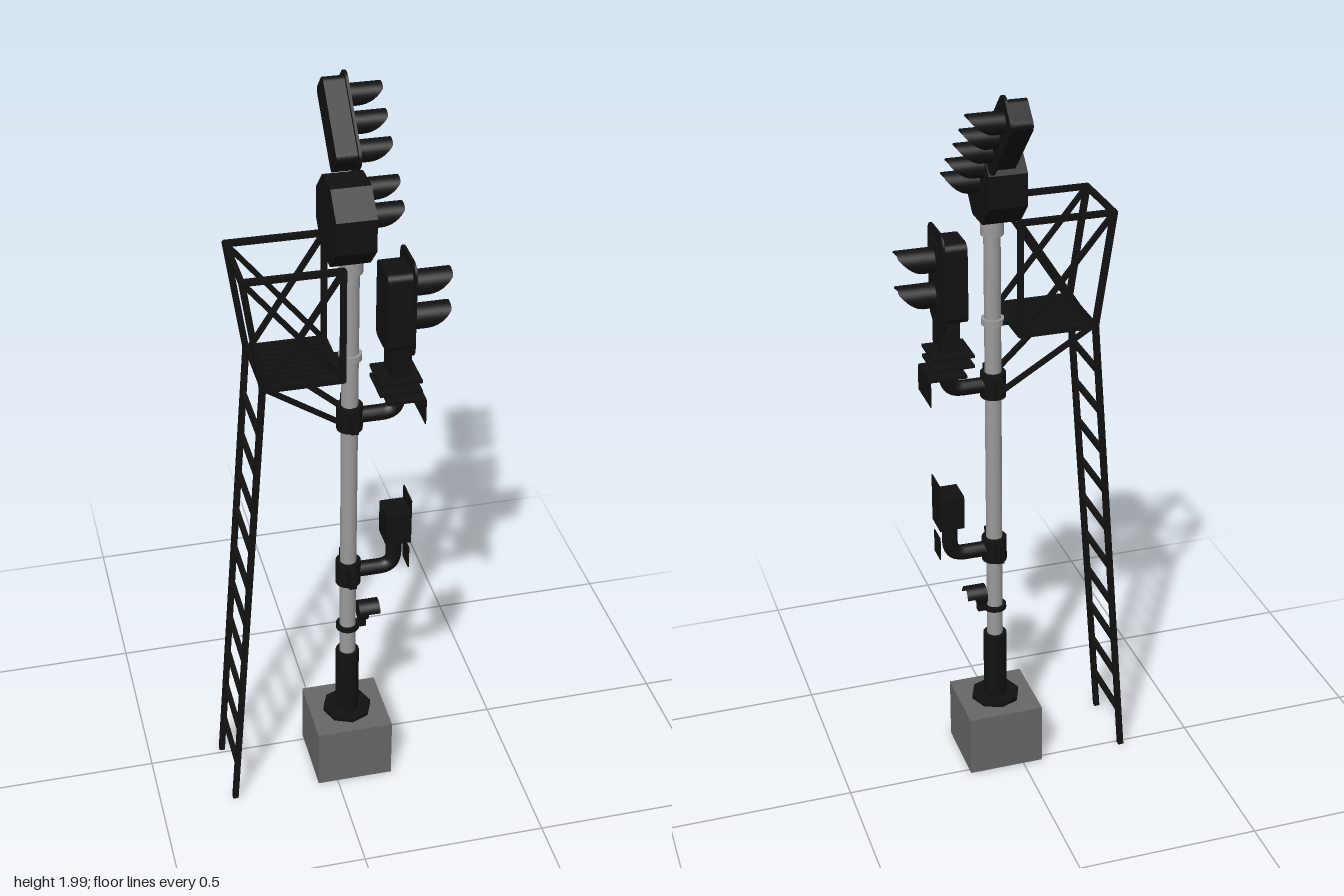
import * as THREE from 'three';

const mat = (color) => new THREE.MeshStandardMaterial({ color, side: THREE.DoubleSide });
const black = mat(0x111111), steel = mat(0x999999), concrete = mat(0x666666), glass = mat(0xcccccc);
const PX = 0.05, PZ = 0.087; // mast axis

function add(parent, name, geo, material = black, x = 0, y = 0, z = 0) {
  const m = new THREE.Mesh(geo, material);
  m.name = name;
  m.position.set(x, y, z);
  parent.add(m);
  return m;
}
const box = (p, name, x0, x1, y0, y1, z0, z1, material) =>
  add(p, name, new THREE.BoxGeometry(x1 - x0, y1 - y0, z1 - z0), material, (x0 + x1) / 2, (y0 + y1) / 2, (z0 + z1) / 2);
const post = (p, name, r, y0, y1, material, sides = 24, x = PX, z = PZ) =>
  add(p, name, new THREE.CylinderGeometry(r, r, y1 - y0, sides), material, x, (y0 + y1) / 2, z);

// square bar between two points
function bar(p, name, a, b, t = 0.014) {
  const A = new THREE.Vector3(...a), B = new THREE.Vector3(...b);
  const m = add(p, name, new THREE.BoxGeometry(t, t, A.distanceTo(B) + t * 0.6));
  m.position.copy(A).lerp(B, 0.5);
  m.lookAt(B);
}

function roundedRect(w, h, r) {
  const s = new THREE.Shape(), a = w / 2, b = h / 2;
  s.absarc(a - r, b - r, r, 0, Math.PI / 2);
  s.absarc(-a + r, b - r, r, Math.PI / 2, Math.PI);
  s.absarc(-a + r, -b + r, r, Math.PI, Math.PI * 1.5);
  s.absarc(a - r, -b + r, r, Math.PI * 1.5, Math.PI * 2);
  return s;
}
function octagon(apothem) {
  const r = apothem / Math.cos(Math.PI / 8);
  return new THREE.Shape(Array.from({ length: 8 }, (_, i) => {
    const t = (i + 0.5) * Math.PI / 4;
    return new THREE.Vector2(r * Math.cos(t), r * Math.sin(t));
  }));
}
// slab facing +x from x0 to x1, tilted in its own plane
function slab(p, name, shape, x0, x1, y, z, tilt = 0) {
  const g = new THREE.ExtrudeGeometry(shape, { depth: x1 - x0, bevelEnabled: false, curveSegments: 6 });
  g.rotateZ(tilt).rotateY(Math.PI / 2);
  add(p, name, g, black, x0, y, z);
}

// lens with a hood that is long on top and cut away below
function lamp(p, x, y, z, r, len) {
  const g = new THREE.CylinderGeometry(r, r, 1, 28, 4, true).rotateZ(-Math.PI / 2).translate(0.5, 0, 0);
  const a = g.attributes.position;
  for (let i = 0; i < a.count; i++) {
    const t = Math.max(0, (a.getY(i) / r + 1) / 2);
    a.setX(i, a.getX(i) * len * (0.1 + 0.9 * Math.min(1, Math.sqrt(t) * 1.1)));
  }
  g.computeVertexNormals();
  add(p, 'hood', g, black, x, y, z);
  add(p, 'lens', new THREE.CircleGeometry(r * 0.68, 24).rotateY(Math.PI / 2), glass, x + 0.005, y, z);
}

// clamp and elbowed pipe carrying a side unit
function bracket(p, name, y, top) {
  const g = new THREE.Group();
  g.name = name;
  p.add(g);
  post(g, 'clamp', 0.034, y - 0.035, y + 0.035);
  box(g, 'clampFlange', PX - 0.01, PX + 0.01, y - 0.02, y + 0.035, PZ - 0.06, PZ + 0.06);
  const path = new THREE.CurvePath();
  const V = (x, yy) => new THREE.Vector3(x, yy, PZ);
  path.add(new THREE.LineCurve3(V(0.06, y), V(0.135, y)));
  path.add(new THREE.QuadraticBezierCurve3(V(0.135, y), V(0.175, y), V(0.175, y + 0.04)));
  path.add(new THREE.LineCurve3(V(0.175, y + 0.04), V(0.175, top)));
  add(g, 'elbowPipe', new THREE.TubeGeometry(path, 30, 0.021, 14));
  return g;
}

export function createModel() {
  const root = new THREE.Group();
  root.name = 'railwaySignal';

  // footing and mast
  box(root, 'footing', -0.055, 0.155, 0, 0.178, -0.017, 0.188, concrete);
  post(root, 'basePlate', 0.068, 0.178, 0.19, black, 8);
  post(root, 'baseSleeve', 0.032, 0.19, 0.39);
  post(root, 'mast', 0.022, 0.39, 1.64, steel);
  post(root, 'mastCollar', 0.03, 1.57, 1.61, steel);
  post(root, 'platformClamp', 0.03, 1.325, 1.343, steel);

  // small marker lamp
  const marker = new THREE.Group();
  marker.name = 'markerLamp';
  root.add(marker);
  post(marker, 'ring', 0.032, 0.47, 0.482);
  box(marker, 'stem', 0.08, 0.1, 0.47, 0.51, PZ - 0.01, PZ + 0.01);
  add(marker, 'housing', new THREE.CylinderGeometry(0.028, 0.028, 0.025, 20).rotateZ(Math.PI / 2), black, 0.09, 0.52, PZ);
  const hood = new THREE.CylinderGeometry(0.028, 0.028, 0.04, 20, 1, true, 0, Math.PI).rotateX(-Math.PI / 2).rotateZ(Math.PI / 2);
  hood.rotateY(Math.PI / 2);
  add(marker, 'markerHood', hood, black, 0.115, 0.52, PZ);

  // lower box on its bracket
  const low = bracket(root, 'lowerBracket', 0.662, 0.77);
  box(low, 'indicatorBox', 0.143, 0.209, 0.756, 0.852, 0.052, 0.126);
  box(low, 'indicatorPlate', 0.208, 0.211, 0.756, 0.892, 0.05, 0.128);
  box(low, 'numberPlate', 0.208, 0.211, 0.665, 0.73, 0.06, 0.115);

  // middle two-lamp head
  const mid = bracket(root, 'middleBracket', 1.155, 1.28);
  for (const [y, x0, x1] of [[1.265, 0.115, 0.225], [1.237, 0.115, 0.225], [1.21, 0.135, 0.235]])
    box(mid, 'mountPlate', x0, x1, y - 0.004, y + 0.004, 0.032, 0.142);
  box(mid, 'namePlate', 0.233, 0.236, 1.14, 1.21, 0.027, 0.145);
  box(mid, 'headNeck', 0.148, 0.2, 1.275, 1.37, 0.05, 0.124);
  slab(mid, 'middleHead', roundedRect(0.11, 0.215, 0.02), 0.13, 0.195, 1.465, PZ);
  slab(mid, 'middleBackboard', roundedRect(0.145, 0.262, 0.035), 0.193, 0.198, 1.472, PZ);
  box(mid, 'lampMount', 0.198, 0.206, 1.375, 1.57, 0.05, 0.124);
  for (const y of [1.52, 1.425]) lamp(mid, 0.205, y, PZ, 0.033, 0.097);

  // octagonal main head and the slanted three-lamp arm
  const main = new THREE.Group();
  main.name = 'mainHead';
  root.add(main);
  slab(main, 'octagonHead', octagon(0.102), -0.012, 0.088, 1.715, PZ);
  lamp(main, 0.088, 1.715, PZ, 0.03, 0.088);
  lamp(main, 0.088, 1.766, 0.045, 0.028, 0.088);
  slab(main, 'slantedHead', roundedRect(0.085, 0.222, 0.018), 0.03, 0.083, 1.882, -0.083, -Math.PI / 4);
  slab(main, 'slantedBackboard', roundedRect(0.106, 0.247, 0.03), 0.083, 0.09, 1.882, -0.083, -Math.PI / 4);
  for (const d of [-0.051, 0, 0.051]) lamp(main, 0.09, 1.88 + d, -0.083 - d, 0.028, 0.087);

  // ladder and service platform
  const access = new THREE.Group();
  access.name = 'ladderAndPlatform';
  root.add(access);
  const zs = [-0.014, 0.188];
  for (const z of zs) {
    const foot = [-0.294, 0.007, z], knee = [-0.194, 1.33, z], top = [-0.238, 1.63, z];
    const railEnd = [0.007, 1.63, z], floorEnd = [0.007, 1.33, z];
    bar(access, 'ladderStringer', foot, knee, 0.015);
    bar(access, 'cagePost', knee, top, 0.015);
    bar(access, 'topRail', top, railEnd);
    bar(access, 'innerPost', floorEnd, railEnd);
    bar(access, 'floorBeam', knee, floorEnd);
    bar(access, 'brace', [-0.185, 1.33, z], railEnd, 0.012);
    bar(access, 'brace', top, floorEnd, 0.012);
    bar(access, 'strut', [-0.18, 1.325, z], [0.04, 1.155, PZ + Math.sign(z - PZ) * 0.05], 0.012);
  }
  const across = (name, x, y) => bar(access, name, [x, y, zs[0]], [x, y, zs[1]], 0.013);
  for (let y = 0.124; y < 1.3; y += 0.1195) across('rung', -0.294 + (y / 1.33) * 0.1, y);
  across('topCrossRail', -0.238, 1.63);
  across('floorCrossBeam', -0.19, 1.33);
  across('floorCrossBeam', 0.007, 1.33);
  for (let i = 0; i < 8; i++) {
    const z = 0.0055 + i * 0.0233;
    box(access, 'floorSlat', -0.19, 0.007, 1.323, 1.335, z - 0.0055, z + 0.0055);
  }
  box(access, 'platformTie', 0.007, 0.04, 1.325, 1.337, PZ - 0.02, PZ + 0.02);

  return root;
}
